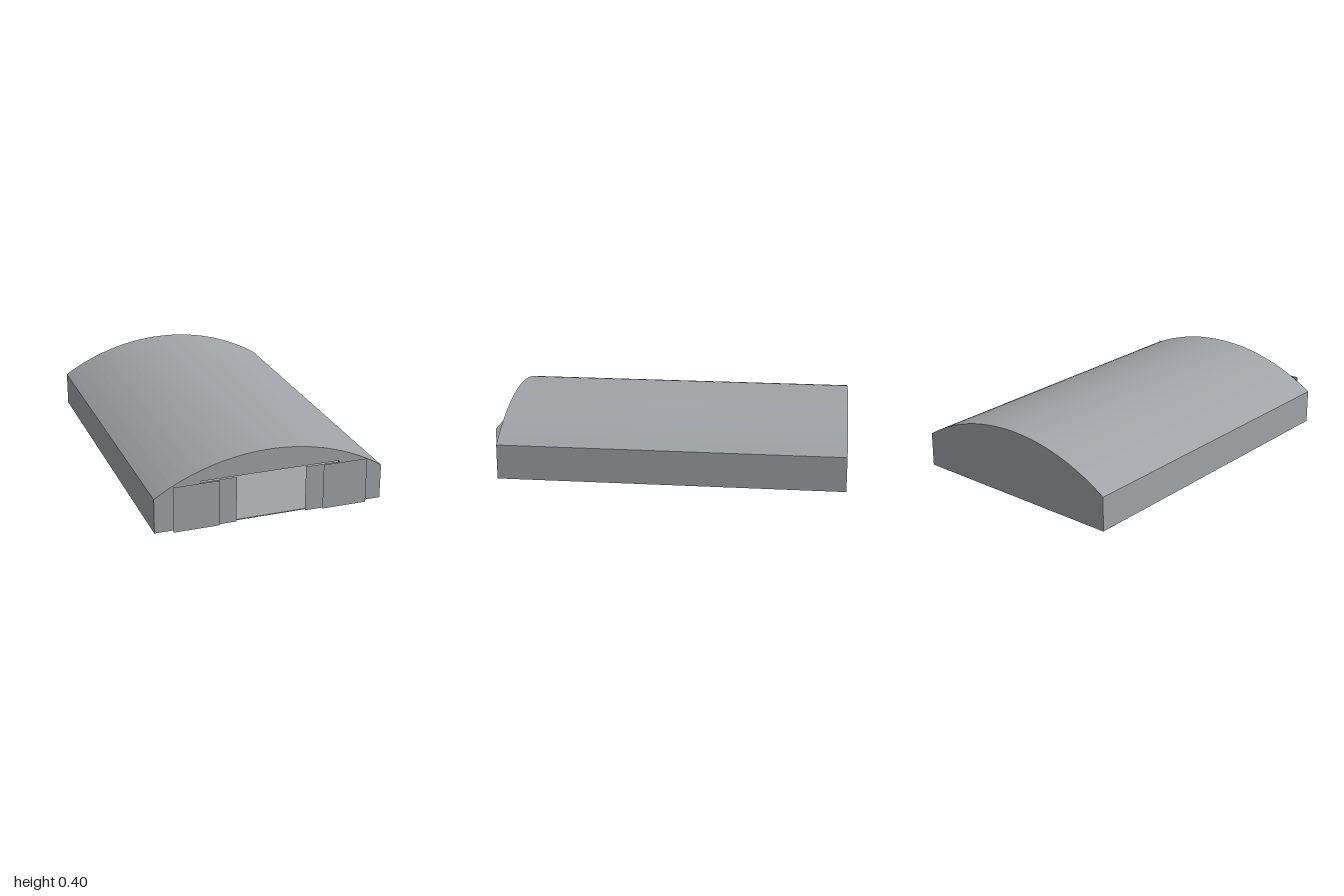
import * as THREE from 'three';

const HALF = 0.66, EAVE = 0.2, TOP = 0.395;
const BACK = -1, FRONT = 0.975, WALL = 0.012;
const DOOR_H = 0.265;

// Points of the shallow arched roof from right eave (+x) to left eave (-x)
function archPoints(half, eave, top, n = 36) {
  const rise = top - eave;
  const r = (half * half + rise * rise) / (2 * rise);
  const a = Math.asin(half / r);
  return Array.from({ length: n + 1 }, (_, i) => {
    const t = a - (2 * a * i) / n;
    return new THREE.Vector2(r * Math.sin(t), top - r + r * Math.cos(t));
  });
}

function section(half, eave, top, base) {
  return [new THREE.Vector2(-half, base), new THREE.Vector2(half, base), ...archPoints(half, eave, top)];
}

export function createModel() {
  const group = new THREE.Group();
  const steel = new THREE.MeshStandardMaterial({ color: 0xa0a3a7, side: THREE.DoubleSide });
  steel.name = 'grey steel';

  const add = (name, geometry, x = 0, y = 0, z = 0) => {
    const mesh = new THREE.Mesh(geometry, steel);
    mesh.name = name;
    mesh.position.set(x, y, z);
    group.add(mesh);
  };
  const extrude = (shape, depth) => new THREE.ExtrudeGeometry(shape, { depth, bevelEnabled: false });

  // Arched roof, side walls and floor as one hollow tube
  const shell = new THREE.Shape(section(HALF, EAVE, TOP, 0));
  shell.holes.push(new THREE.Path(section(HALF - WALL, EAVE - 0.005, TOP - WALL, 0.005)));
  add('roofWallsAndFloor', extrude(shell, FRONT - BACK - 2 * WALL), 0, 0, BACK + WALL);

  // Closed back gable
  add('backWall', extrude(new THREE.Shape(section(HALF, EAVE, TOP, 0)), WALL), 0, 0, BACK);

  // Front gable with the doorway notched out
  const gable = new THREE.Shape([
    [-HALF, 0], [-0.4, 0], [-0.4, DOOR_H], [0.4, DOOR_H], [0.4, 0], [HALF, 0],
  ].map(([x, y]) => new THREE.Vector2(x, y)).concat(archPoints(HALF, EAVE, TOP)));
  add('frontWall', extrude(gable, WALL), 0, 0, FRONT - WALL);

  // Floor strip in the doorway
  add('threshold', new THREE.BoxGeometry(0.8, 0.005, WALL), 0, 0.0025, FRONT - WALL / 2);

  // Staggered sliding door leaves on both sides, slid open
  for (const [side, s] of [['left', 1], ['right', -1]]) {
    add(side + 'OuterDoor', new THREE.PlaneGeometry(0.26, DOOR_H), s * 0.43, DOOR_H / 2, 1);
    add(side + 'InnerDoor', new THREE.PlaneGeometry(0.2, DOOR_H), s * 0.3, DOOR_H / 2, 0.988);
  }
  return group;
}
